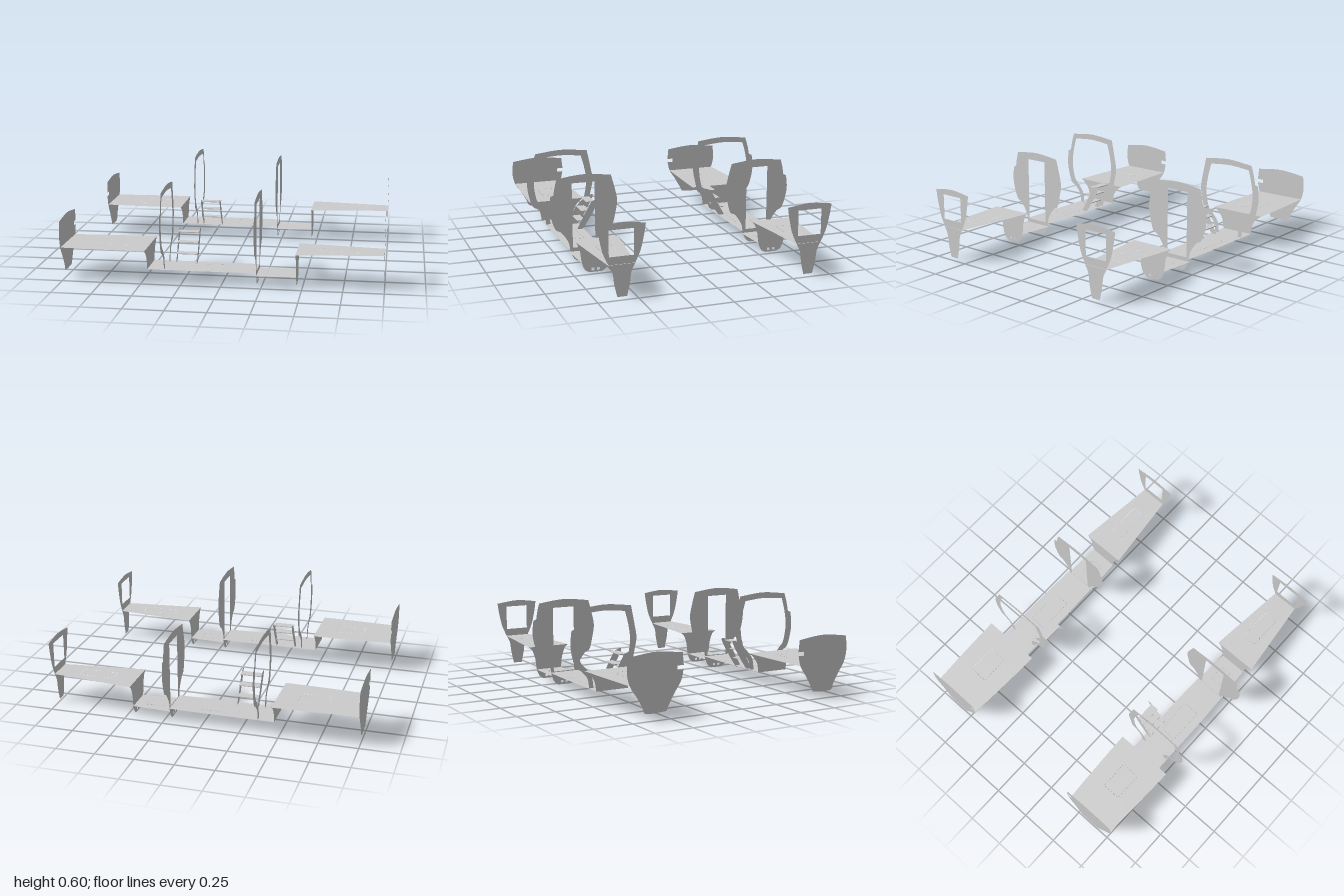
import * as THREE from 'three';

const material = new THREE.MeshStandardMaterial({ color: 0xcccccc, side: THREE.DoubleSide });
const HULL_Z = 0.6; // centreline of each hull

// Closed shape made of smooth runs that meet at corners
function runs(list) {
  const shape = new THREE.Shape();
  shape.moveTo(...list[0][0]);
  list.forEach((pts, i) => {
    const [first, ...rest] = pts.map(p => new THREE.Vector2(...p));
    if (i) shape.lineTo(first.x, first.y);
    if (rest.length > 1) shape.splineThru(rest);
    else if (rest.length) shape.lineTo(rest[0].x, rest[0].y);
  });
  shape.closePath();
  return shape;
}

const mirror = pts => pts.map(([z, y]) => [-z, y]).reverse();

function rect(x0, y0, x1, y1) {
  const p = new THREE.Path();
  p.moveTo(x0, y0);
  p.lineTo(x1, y0);
  p.lineTo(x1, y1);
  p.lineTo(x0, y1);
  p.closePath();
  return p;
}

function addMesh(group, name, geometry) {
  const mesh = new THREE.Mesh(geometry, material);
  mesh.name = name;
  group.add(mesh);
}

// Upright cross panel: shape is drawn in (z, y)
function crossPanel(group, name, shape, x) {
  const g = new THREE.ShapeGeometry(shape, 10);
  g.rotateY(-Math.PI / 2);
  g.translate(x, 0, 0);
  addMesh(group, name, g);
}

// Horizontal deck from [x, half width] stations, with perforated hatch outlines
function deck(group, name, y, stations, hatches) {
  const pts = [...stations, ...stations.map(([x, w]) => [x, -w]).reverse()];
  const shape = new THREE.Shape(pts.map(p => new THREE.Vector2(...p)));
  const t = 0.0015;
  for (const [x0, x1, w] of hatches) {
    const nx = Math.round((x1 - x0) / 0.024), nz = Math.round(2 * w / 0.024);
    for (const s of [-1, 1]) {
      for (let i = 0; i < nx; i++) {
        const x = x0 + (x1 - x0) * (i + 0.25) / nx;
        shape.holes.push(rect(x, s * w - t, x + 0.012, s * w + t));
      }
      const xe = s < 0 ? x0 : x1;
      for (let i = 0; i < nz; i++) {
        const z = -w + 2 * w * (i + 0.25) / nz;
        shape.holes.push(rect(xe - t, z, xe + t, z + 0.012));
      }
    }
  }
  const g = new THREE.ShapeGeometry(shape);
  g.rotateX(Math.PI / 2);
  g.translate(0, y, 0);
  addMesh(group, name, g);
}

// Small drain holes beside the keel
function drains(shape) {
  for (const s of [-1, 1]) shape.holes.push(rect(s * 0.018 - 0.009, 0.01, s * 0.018 + 0.009, 0.028));
}

function buildHull() {
  const hull = new THREE.Group();

  // Decks
  deck(hull, 'aftDeck', 0.22, [[-1, 0.17], [-0.82, 0.179], [-0.64, 0.186], [-0.465, 0.19]], [[-0.79, -0.6, 0.06]]);
  deck(hull, 'cabinFloor', 0.085, [[-0.465, 0.11], [0, 0.11], [0.215, 0.104]], [[-0.22, 0.02, 0.055]]);
  deck(hull, 'forwardCabinFloor', 0.065, [[0.215, 0.104], [0.46, 0.09]], [[0.28, 0.39, 0.04]]);
  deck(hull, 'foredeck', 0.22, [[0.46, 0.145], [1, 0.085]], [[0.61, 0.84, 0.045]]);

  // Stern panel with a slot on its inner edge
  const sternSide = [[0.07, 0.05], [0.09, 0.09], [0.125, 0.15], [0.17, 0.22], [0.188, 0.3], [0.18, 0.385]];
  crossPanel(hull, 'sternPanel', runs([
    [[0, 0.045], ...sternSide],
    [[0.18, 0.385], [0, 0.404], [-0.18, 0.385]],
    [[-0.18, 0.385], [-0.188, 0.31]],
    [[-0.145, 0.31], [-0.145, 0.285]],
    [[-0.186, 0.285], ...mirror(sternSide.slice(0, 4))],
  ]), -1);

  // Step panel between aft deck and cabin floor
  const aftStep = [[0.11, 0.085], [0.122, 0.15], [0.155, 0.195], [0.19, 0.22]];
  crossPanel(hull, 'aftStepPanel', runs([aftStep, mirror(aftStep)]), -0.465);

  // Step panel below the foredeck
  const foreStep = [[0.04, 0], [0.07, 0.02], [0.09, 0.07], [0.1, 0.14], [0.12, 0.195], [0.145, 0.22]];
  const forePanel = runs([foreStep, mirror(foreStep)]);
  drains(forePanel);
  crossPanel(hull, 'foreStepPanel', forePanel, 0.46);

  // Open ring frame, stepped on the outer side
  const legOut = [[0.105, 0.085], [0.118, 0.15], [0.16, 0.197], [0.195, 0.22], [0.218, 0.285], [0.23, 0.365], [0.222, 0.453]];
  const legIn = [[0.105, 0.085], [0.118, 0.15], [0.16, 0.197], [0.195, 0.22], [0.215, 0.3], [0.229, 0.38], [0.213, 0.475], [0.191, 0.583]];
  const hollow = [[0.075, 0.085], [0.088, 0.16], [0.13, 0.215], [0.165, 0.26], [0.183, 0.365], [0.172, 0.46], [0.148, 0.55]];
  crossPanel(hull, 'ringFrame', runs([
    legOut,
    [[0.2, 0.46], [0.188, 0.52], [0.169, 0.583]],
    [[0.169, 0.583], [-0.01, 0.6], [-0.191, 0.583]],
    mirror(legIn),
    mirror(mirror(mirror(hollow))).reverse(),
    [[-0.148, 0.55], [0, 0.562], [0.148, 0.55]],
    [...hollow].reverse(),
  ]), -0.36);

  // Main bulkhead with a doorway
  const keel = [[0.045, 0], [0.07, 0.018], [0.092, 0.065]];
  const bulkhead = runs([
    [...keel, [0.106, 0.13], [0.15, 0.195], [0.188, 0.22], [0.213, 0.285], [0.225, 0.36], [0.217, 0.44]],
    [[0.197, 0.447], [0.188, 0.5], [0.175, 0.55]],
    [[0.175, 0.55], [0, 0.568], [-0.182, 0.55]],
    mirror([...keel, [0.106, 0.13], [0.15, 0.195], [0.188, 0.22], [0.21, 0.3], [0.222, 0.38], [0.207, 0.46], [0.182, 0.55]]),
  ]);
  bulkhead.holes.push(rect(-0.073, 0.09, 0.077, 0.515));
  drains(bulkhead);
  crossPanel(hull, 'mainBulkhead', bulkhead, 0.215);

  // Bow panel with a window opening
  const bowSide = [[0.03, 0.02], [0.048, 0.1], [0.058, 0.17], [0.082, 0.22], [0.115, 0.295], [0.136, 0.385], [0.147, 0.455]];
  const bow = runs([bowSide, [[0.147, 0.455], [0, 0.471], [-0.147, 0.455]], mirror(bowSide)]);
  bow.holes.push(rect(-0.075, 0.268, 0.079, 0.43));
  crossPanel(hull, 'bowPanel', bow, 0.995);

  // Steps climbing towards the inner side
  const ladder = new THREE.Group();
  ladder.name = 'boardingSteps';
  const rail = [[-0.065, 0.087], [-0.105, 0.087], [-0.215, 0.27], [-0.165, 0.27]];
  for (const x of [-0.315, -0.182]) crossPanel(ladder, 'stepRail', runs([rail]), x);
  [[0.145, -0.095], [0.21, -0.125], [0.27, -0.16]].forEach(([y, z]) => {
    const tread = new THREE.BoxGeometry(0.133, 0.005, 0.055);
    tread.translate(-0.2485, y - 0.0025, z);
    addMesh(ladder, 'tread', tread);
  });
  hull.add(ladder);
  return hull;
}

export function createModel() {
  const model = new THREE.Group();
  model.name = 'twinHullInterior';
  for (const side of [1, -1]) {
    const hull = buildHull();
    hull.name = side > 0 ? 'frontHullInterior' : 'backHullInterior';
    hull.position.z = side * HULL_Z;
    hull.scale.z = side; // the two hulls mirror each other
    model.add(hull);
  }
  return model;
}
